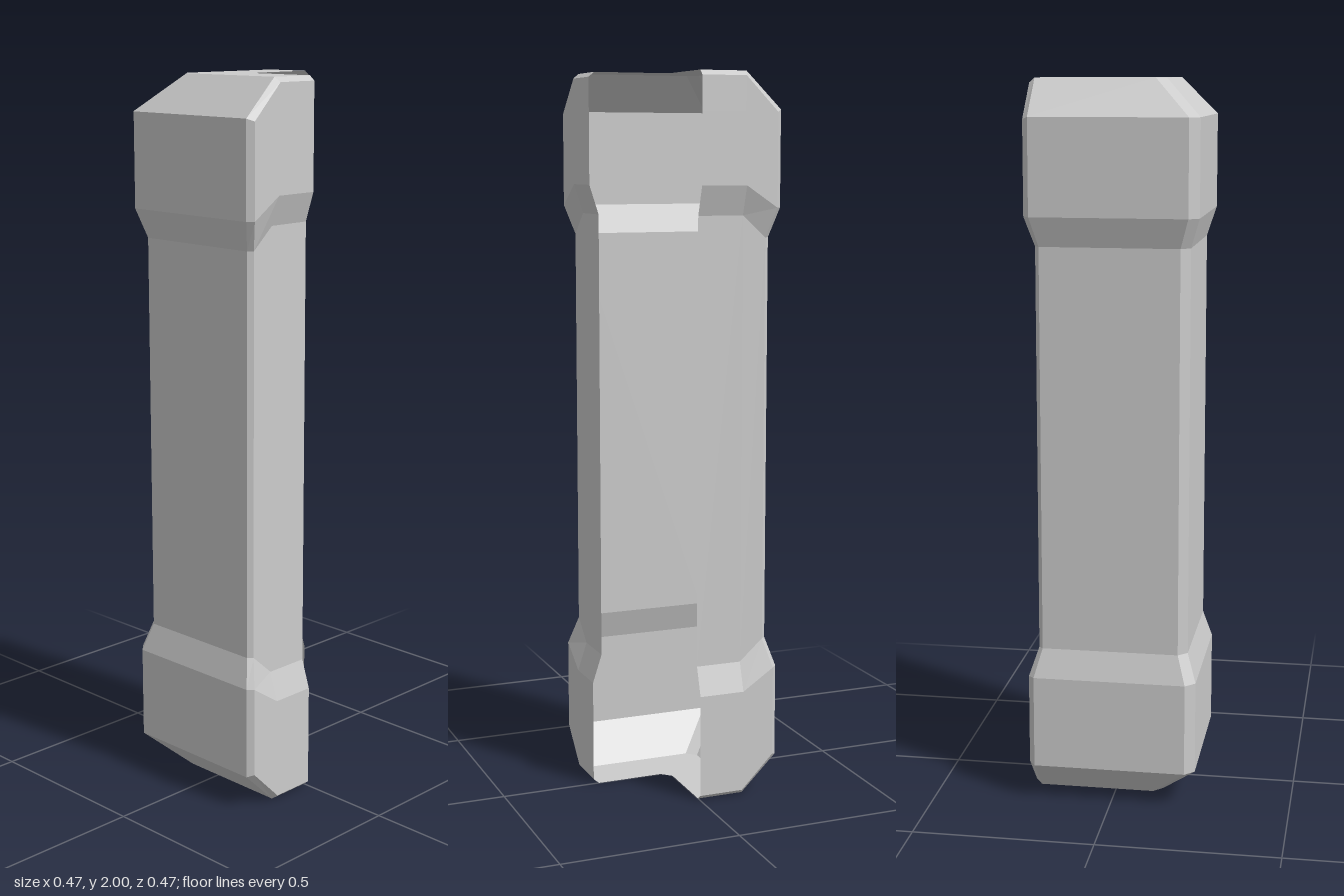
import * as THREE from 'three';

// Mirrors: across the diagonal (one arm to the other) and top to bottom
const diagonal = ([x, y, z]) => [-z, y, -x];
const flip = ([x, y, z]) => [x, 2 - y, z];

function quadMesh(quads, name) {
  const position = [];
  for (const [a, b, c, d] of quads) position.push(...a, ...b, ...c, ...a, ...c, ...d);
  const geometry = new THREE.BufferGeometry();
  geometry.setAttribute('position', new THREE.Float32BufferAttribute(position, 3));
  geometry.computeVertexNormals();
  const material = new THREE.MeshStandardMaterial({
    color: 0xcccccc, flatShading: true, side: THREE.DoubleSide,
  });
  const mesh = new THREE.Mesh(geometry, material);
  mesh.name = name;
  return mesh;
}

// Adds the other arm and the bottom copies of quads on one arm's top
function mirrored(quads, mirror) {
  return [...quads, ...quads.map((q) => q.map(mirror).reverse())];
}

export function createModel() {
  const group = new THREE.Group();
  group.name = 'cornerGuard';

  // Upper half of each vertical edge line: cap rim, bevel foot, pad foot, shaft
  const end = 0.233, shaftEnd = 0.207;
  const arm = [
    [[end, 1.987, 0], [end, 1.893, 0], [end, 1.70, 0], [shaftEnd, 1.62, 0]],
    [[end, 1.987, 0.127], [end, 1.893, 0.127], [end, 1.70, 0.13], [shaftEnd, 1.62, 0.13]],
    [[end, 1.987, 0.127], [end, 1.893, 0.22], [end, 1.64, 0.22], [shaftEnd, 1.56, 0.197]],
    [[0.217, 2, 0.133], [0.217, 1.9, 0.235], [0.217, 1.64, 0.235], [0.195, 1.56, 0.21]],
    [[-0.107, 2, 0.133], [-0.208, 1.9, 0.235], [-0.208, 1.64, 0.235], [-0.185, 1.56, 0.21]],
  ];
  const halves = [...arm, ...[...arm].reverse().map((col) => col.map(diagonal))];
  const columns = halves.map((col) => [...col, ...[...col].reverse().map(flip)]);

  // Outer walls, wrapped from one arm end round the corner to the other;
  // the inner side stays open
  const walls = [];
  for (let i = 0; i < columns.length - 1; i++) {
    const right = columns[i], left = columns[i + 1];
    for (let j = 0; j < right.length - 1; j++) {
      walls.push([left[j + 1], right[j + 1], right[j], left[j]]);
    }
  }
  group.add(quadMesh(walls, 'outerWalls'));

  // L-shaped caps: flat arm, small end bevel and the corner piece
  const rim = [0.217, 2, 0], inner = [0.027, 2, 0];
  const armTop = [
    [arm[3][0], rim, inner, arm[4][0]],
    [arm[2][0], arm[0][0], rim, arm[3][0]],
  ];
  const corner = [arm[4][0], inner, diagonal(inner), diagonal(arm[4][0])];
  const top = [...mirrored(armTop, diagonal), corner];
  group.add(quadMesh(top, 'topCap'));
  group.add(quadMesh(top.map((q) => q.map(flip).reverse()), 'bottomCap'));

  return group;
}
